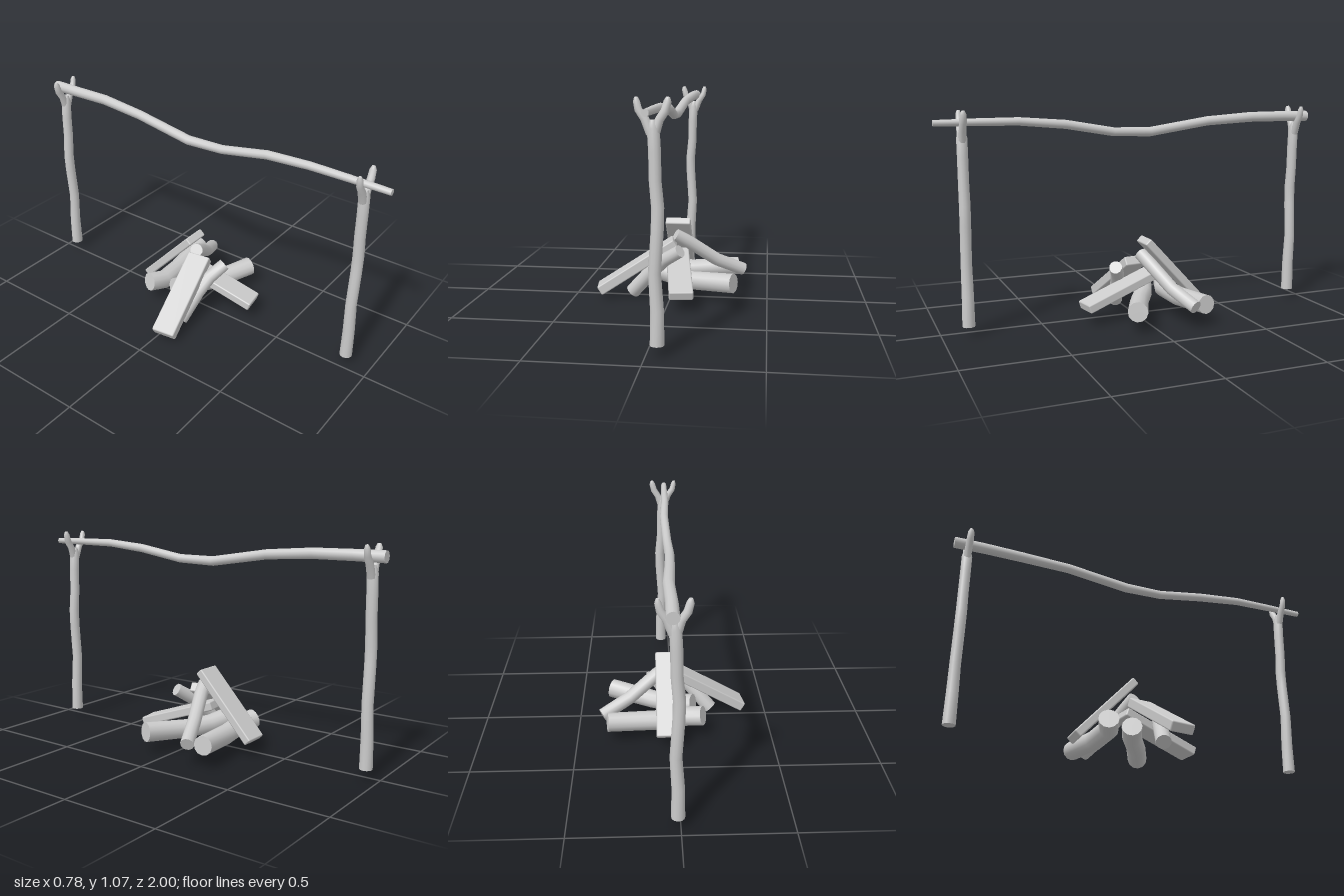
import * as THREE from 'three';
import { RoundedBoxGeometry } from 'three/addons/geometries/RoundedBoxGeometry.js';

const material = new THREE.MeshStandardMaterial({ color: 0xcccccc });
const SIDES = 12;

// Crooked stick: rings swept through [x, y, z, radius] stations, with flat end caps
function stick(name, stations) {
  const pts = stations.map(s => new THREE.Vector3(s[0], s[1], s[2]));
  const n = pts.length;
  const tangents = pts.map((p, i) =>
    pts[Math.min(i + 1, n - 1)].clone().sub(pts[Math.max(i - 1, 0)]).normalize());
  const pos = [], index = [];
  let u = Math.abs(tangents[0].z) > 0.8 ? new THREE.Vector3(1, 0, 0) : new THREE.Vector3(0, 0, 1);
  const ring = i => {
    const t = tangents[i];
    u = u.clone().addScaledVector(t, -u.dot(t)).normalize();
    const v = t.clone().cross(u);
    for (let j = 0; j < SIDES; j++) {
      const a = j / SIDES * Math.PI * 2, r = stations[i][3];
      const p = pts[i].clone().addScaledVector(u, Math.cos(a) * r).addScaledVector(v, Math.sin(a) * r);
      pos.push(p.x, p.y, p.z);
    }
  };
  for (let i = 0; i < n; i++) ring(i);
  for (let i = 0; i < n - 1; i++) {
    for (let j = 0; j < SIDES; j++) {
      const a = i * SIDES + j, b = i * SIDES + (j + 1) % SIDES;
      index.push(a, b, b + SIDES, a, b + SIDES, a + SIDES);
    }
  }
  // caps use their own vertices so that their edges stay sharp
  for (const end of [0, n - 1]) {
    const base = pos.length / 3;
    pos.push(...pos.slice(end * SIDES * 3, (end + 1) * SIDES * 3), pts[end].x, pts[end].y, pts[end].z);
    for (let j = 0; j < SIDES; j++) {
      const a = base + j, b = base + (j + 1) % SIDES, c = base + SIDES;
      if (end === 0) index.push(c, b, a); else index.push(c, a, b);
    }
  }
  const g = new THREE.BufferGeometry();
  g.setAttribute('position', new THREE.Float32BufferAttribute(pos, 3));
  g.setIndex(index);
  g.computeVertexNormals();
  const mesh = new THREE.Mesh(g, material);
  mesh.name = name;
  return mesh;
}

// Split plank with softened edges, running between two end centres
function plank(name, from, to, width, thickness) {
  const a = new THREE.Vector3(...from), b = new THREE.Vector3(...to);
  const dir = b.clone().sub(a), length = dir.length();
  dir.normalize();
  const side = dir.clone().cross(new THREE.Vector3(0, 1, 0)).normalize();
  const mesh = new THREE.Mesh(new RoundedBoxGeometry(length, thickness, width, 1, 0.007), material);
  mesh.quaternion.setFromRotationMatrix(new THREE.Matrix4().makeBasis(dir, side.clone().cross(dir), side));
  mesh.position.copy(a).add(b).multiplyScalar(0.5);
  mesh.name = name;
  return mesh;
}

// Forked post, its fork centred over the group's origin
function forkedPost(name) {
  const post = new THREE.Group();
  post.name = name;
  post.add(
    stick('postTrunk', [
      [0.018, 0.05, 0, 0.031], [0.018, 0.2, 0, 0.029], [0.008, 0.36, 0, 0.027], [0.02, 0.54, 0, 0.027],
      [0.022, 0.63, 0, 0.027], [0.012, 0.74, 0, 0.026], [0.01, 0.86, 0, 0.026], [0.005, 0.95, 0, 0.026],
      [0.002, 0.985, 0, 0.014]]),
    stick('forkTineLeft', [
      [0.012, 0.93, 0, 0.02], [0.03, 0.985, 0, 0.018], [0.053, 1.02, 0, 0.018], [0.063, 1.058, 0, 0.016],
      [0.065, 1.075, 0, 0.008]]),
    stick('forkTineRight', [
      [-0.005, 0.93, 0, 0.02], [-0.03, 0.99, 0, 0.018], [-0.055, 1.025, 0, 0.016], [-0.062, 1.058, 0, 0.014],
      [-0.064, 1.075, 0, 0.007]]));
  return post;
}

export function createModel() {
  const model = new THREE.Group();
  model.name = 'campfireSpit';

  // Two forked posts, the back one turned around
  const front = forkedPost('frontPost');
  front.position.set(0.03, 0, 0.872);
  const back = forkedPost('backPost');
  back.position.set(0.03, 0, -0.932);
  back.rotation.y = Math.PI;
  model.add(front, back);

  // Sagging crossbar resting in the forks
  model.add(stick('crossbar', [
    [0.022, 1.018, 1, 0.015], [0.024, 1.02, 0.8, 0.018], [0.026, 1.02, 0.6, 0.02], [0.036, 1.002, 0.37, 0.022],
    [0.028, 0.96, 0.12, 0.022], [0.022, 0.956, -0.08, 0.024], [0.03, 1.005, -0.4, 0.024],
    [0.042, 1.022, -0.65, 0.026], [0.036, 1.023, -0.85, 0.027], [0.036, 1.022, -1, 0.028]]));

  // Round logs of the fire
  model.add(
    stick('frontLog', [
      [-0.1, 0.125, -0.09, 0.05], [0, 0.105, -0.05, 0.048], [0.11, 0.095, 0.015, 0.048], [0.33, 0.112, 0.112, 0.05]]),
    stick('backLog', [
      [-0.145, 0.13, -0.225, 0.05], [-0.06, 0.11, -0.195, 0.05], [0.1, 0.1, -0.212, 0.05], [0.342, 0.115, -0.25, 0.048]]),
    stick('bentBranch', [
      [0.02, 0.325, -0.03, 0.034], [0.09, 0.282, -0.055, 0.035], [0.23, 0.18, -0.115, 0.034], [0.37, 0.115, -0.178, 0.034]]),
    stick('leaningLog', [
      [-0.2, 0.03, 0.03, 0.038], [-0.09, 0.155, 0.06, 0.037], [-0.02, 0.22, 0.085, 0.035], [0.06, 0.275, 0.125, 0.033]]));

  // Split planks leaning on the pile
  model.add(
    plank('rightPlank', [-0.37, 0.045, 0.05], [0.02, 0.295, -0.005], 0.126, 0.05),
    plank('backPlank', [0.03, 0.4, -0.042], [0.03, 0.077, -0.34], 0.13, 0.042),
    plank('frontPlank', [0.085, 0.09, 0.3], [0.02, 0.225, -0.1], 0.12, 0.045));
  return model;
}
